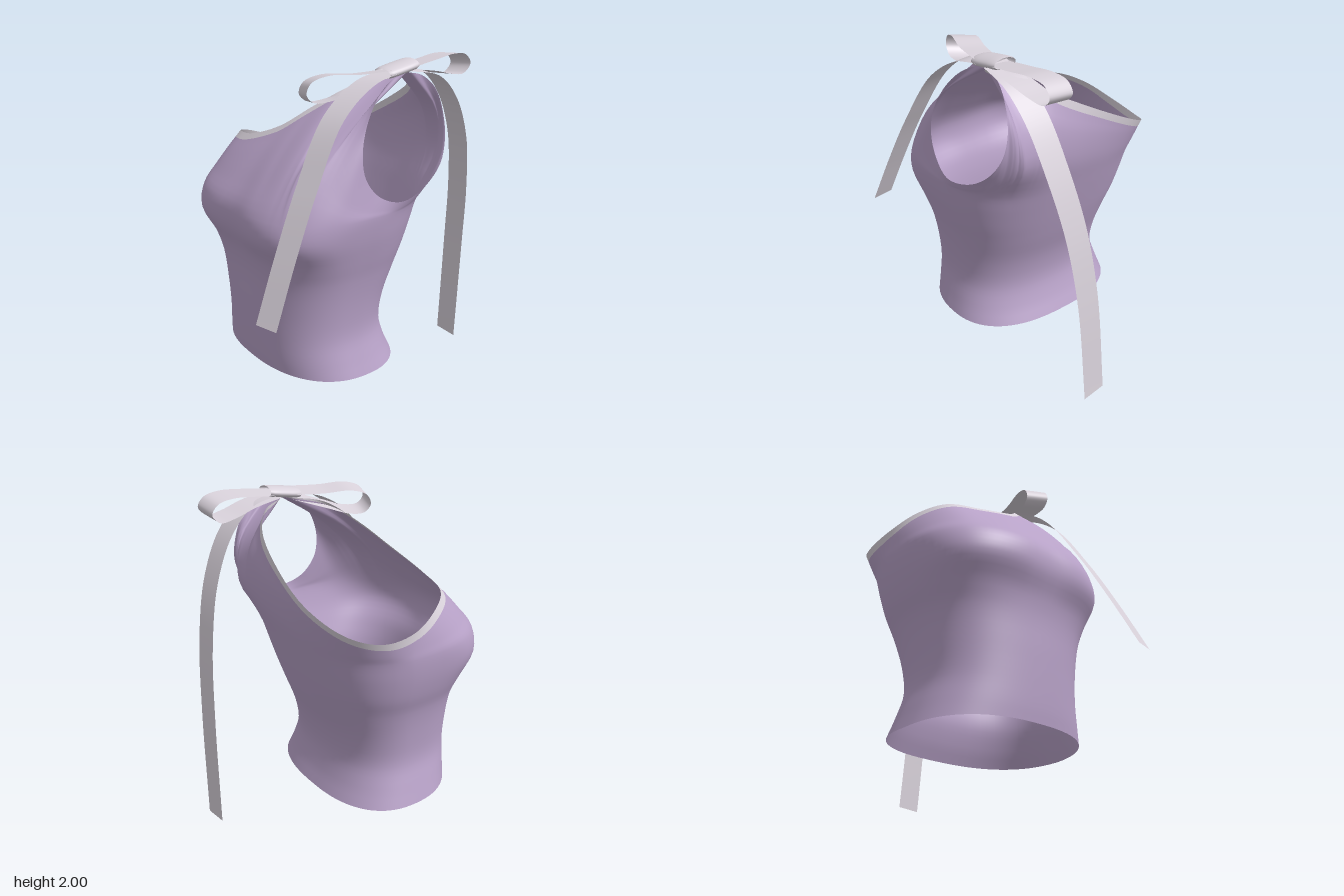
import * as THREE from 'three';

const fabric = new THREE.MeshStandardMaterial({ color: 0xb9a3c9, side: THREE.DoubleSide });
fabric.name = 'lilac fabric';
const satin = new THREE.MeshStandardMaterial({ color: 0xd9d2db, side: THREE.DoubleSide });
satin.name = 'pale satin';

const V = (x, y, z) => new THREE.Vector3(x, y, z);
const { clamp, lerp, smoothstep, degToRad } = THREE.MathUtils;

// Smooth surface through rows[i][j]; optionally closed along j
function gridMesh(name, rows, material, closed) {
  const n = rows[0].length, pos = [], idx = [];
  rows.forEach(r => r.forEach(p => pos.push(p.x, p.y, p.z)));
  for (let i = 0; i < rows.length - 1; i++) {
    for (let j = 0; j < (closed ? n : n - 1); j++) {
      const k = (j + 1) % n;
      const a = i * n + j, b = a + n, c = i * n + k, d = c + n;
      idx.push(a, b, c, b, d, c);
    }
  }
  const g = new THREE.BufferGeometry();
  g.setAttribute('position', new THREE.Float32BufferAttribute(pos, 3));
  g.setIndex(idx);
  g.computeVertexNormals();
  const m = new THREE.Mesh(g, material);
  m.name = name;
  return m;
}

// Flat band of the given width vector swept along a path
function ribbon(name, path, width, steps = 48) {
  const pts = new THREE.CatmullRomCurve3(path.map(p => V(...p))).getPoints(steps);
  const half = V(...width).multiplyScalar(0.5);
  const rows = [pts.map(p => p.clone().sub(half)), pts.map(p => p.clone().add(half))];
  return gridMesh(name, rows, satin, false);
}

// Torso sections: y, right x, left x, back z, front z, squareness of the front
const SECTIONS = [
  [0.18, -0.60, 0.54, -0.28, 0.57, 2.4],
  [0.28, -0.565, 0.51, -0.235, 0.58, 2.4],
  [0.42, -0.53, 0.48, -0.205, 0.59, 2.4],
  [0.60, -0.54, 0.49, -0.23, 0.60, 2.4],
  [0.80, -0.575, 0.525, -0.30, 0.61, 2.6],
  [0.93, -0.62, 0.56, -0.345, 0.635, 2.9],
  [1.07, -0.655, 0.595, -0.39, 0.70, 3.1],
  [1.20, -0.67, 0.615, -0.43, 0.695, 2.75],
];

// Upper edge: angle of its column, then x, y, z and how far the column bows out
const RIM = [
  [-10, 0.62, 1.26, -0.03, 0.1],    // armhole, bottom to front
  [3, 0.60, 1.31, 0.10, 0.1],
  [12, 0.58, 1.42, 0.18, 0.1],
  [19, 0.56, 1.55, 0.19, 0.15],
  [26, 0.525, 1.70, 0.135, 0.15],
  [33, 0.485, 1.83, 0.03, 0.2],
  [39, 0.455, 1.90, -0.08, 0.28],
  [45, 0.45, 1.93, -0.19, 0.33],    // shoulder seam
  [53, 0.33, 1.93, -0.19, 0.42],
  [61, 0.30, 1.865, 0.08, 0.22],    // front neckline
  [75, 0.16, 1.745, 0.235, 0.22],
  [90, 0.00, 1.62, 0.345, 0.35],
  [115, -0.27, 1.52, 0.385, 0.46],
  [138, -0.49, 1.485, 0.33, 0.46],
  [162, -0.60, 1.44, 0.20, 0.4],
  [189, -0.665, 1.37, 0.00, 0.3],   // under the bare shoulder
  [202, -0.65, 1.35, -0.20, 0.3],
  [222, -0.55, 1.40, -0.37, 0.3],   // back neckline
  [245, -0.32, 1.52, -0.48, 0.3],
  [270, 0.00, 1.69, -0.475, 0.3],
  [286, 0.20, 1.805, -0.42, 0.32],
  [295, 0.30, 1.89, -0.33, 0.38],
  [300, 0.33, 1.93, -0.21, 0.47],   // shoulder seam
  [307, 0.45, 1.93, -0.21, 0.51],
  [311, 0.46, 1.905, -0.30, 0.44],  // armhole, back
  [315, 0.48, 1.82, -0.39, 0.46],
  [319, 0.50, 1.66, -0.44, 0.6],
  [324, 0.53, 1.52, -0.43, 0.9],
  [329, 0.57, 1.40, -0.36, 0.5],
  [341, 0.60, 1.29, -0.20, 0.1],
];
const NECK_START = 8, NECK_END = 22;

function sectionPoint([y, x0, x1, z0, z1, square], a) {
  const c = Math.cos(a), s = Math.sin(a);
  const e = 2 / lerp(2.5, square, smoothstep(s, -0.2, 0.3));
  const x = (x0 + x1) / 2 + (x1 - x0) / 2 * Math.sign(c) * Math.abs(c) ** e;
  let z = (z0 + z1) / 2 + (z1 - z0) / 2 * Math.sign(s) * Math.abs(s) ** e;
  // shallow dip between the bust curves
  if (s > 0 && y > 1) z -= 0.018 * Math.exp(-((x / 0.15) ** 2));
  // slightly raised front hem
  const hem = y < 0.2 ? 0.03 * Math.max(0, s) - 0.012 + 0.008 * c : 0;
  return V(x, y + hem, z);
}

function buildBody(group) {
  const n = RIM.length, per = 6, cols = n * per;
  const rim = new THREE.CatmullRomCurve3(RIM.map(r => V(r[1], r[2], r[3])), true);
  const columns = [], trimLow = [], trimTop = [];
  for (let j = 0; j < cols; j++) {
    const t = j / per, k = Math.floor(t), next = RIM[(k + 1) % n];
    const nextAngle = next[0] + (k + 1 < n ? 0 : 360);
    const a = degToRad(lerp(RIM[k][0], nextAngle, t - k));
    const top = rim.getPoint(j / cols);
    const pts = SECTIONS.map(s => sectionPoint(s, a));
    const base = pts[pts.length - 1];
    // the panels bow outwards between chest and upper edge
    const s = Math.sin(a), rise = Math.max(0, top.y - base.y);
    const bow = lerp(RIM[k][4], next[4], t - k);
    const bulge = bow * rise ** 3 * Math.sign(s) * Math.min(1, Math.abs(s) * 1.4);
    for (const f of [1 / 3, 2 / 3]) {
      const p = base.clone().lerp(top, f);
      p.z += bulge * 4 * f * (1 - f);
      pts.push(p);
    }
    // the neckline leaves room for its trim
    const w = 0.05 * clamp(Math.min(t - NECK_START, NECK_END - t), 0, 1);
    const dir = top.clone().sub(pts[pts.length - 1]).normalize();
    const end = top.clone().addScaledVector(dir, -w);
    pts.push(end);
    columns.push(new THREE.CatmullRomCurve3(pts).getPoints((pts.length - 1) * 4));
    if (t >= NECK_START && t <= NECK_END) { trimLow.push(end); trimTop.push(top); }
  }
  const rows = columns[0].map((_, i) => columns.map(c => c[i]));
  group.add(gridMesh('bodice', rows, fabric, true));
  group.add(gridMesh('necklineTrim', [trimLow, trimTop], satin, false));
}

function buildBow(group) {
  const bow = new THREE.Group();
  bow.name = 'shoulderBow';
  bow.add(ribbon('frontLoop', [
    [0.39, 1.945, -0.12], [0.34, 1.935, 0.08], [0.285, 1.94, 0.24], [0.255, 1.905, 0.335],
    [0.25, 1.845, 0.36], [0.258, 1.80, 0.32], [0.28, 1.80, 0.23], [0.33, 1.85, 0.08],
    [0.39, 1.92, -0.12]], [0.143, 0.02, 0.045]));
  bow.add(ribbon('backLoop', [
    [0.39, 1.95, -0.22], [0.385, 1.975, -0.40], [0.37, 1.99, -0.55], [0.36, 1.973, -0.65],
    [0.36, 1.92, -0.688], [0.36, 1.868, -0.64], [0.37, 1.875, -0.54], [0.385, 1.91, -0.40],
    [0.39, 1.94, -0.22]], [0.155, 0.015, -0.01]));
  bow.add(ribbon('frontTail', [
    [0.395, 1.94, -0.16], [0.405, 1.895, 0.06], [0.435, 1.735, 0.295], [0.495, 1.40, 0.51],
    [0.545, 1.07, 0.68], [0.593, 0.737, 0.835]], [0.145, 0.006, -0.035]));
  bow.add(ribbon('backTail', [
    [0.395, 1.945, -0.20], [0.41, 1.90, -0.40], [0.40, 1.76, -0.55], [0.37, 1.50, -0.68],
    [0.31, 1.15, -0.77], [0.25, 0.70, -0.82], [0.198, 0.006, -0.85]], [0.153, -0.01, -0.01]));
  // flattened wrap around the middle
  const profile = [[0.85, -0.105], [0.97, -0.085], [1, -0.04], [1, 0.04], [0.97, 0.085], [0.85, 0.105]];
  const g = new THREE.LatheGeometry(profile.map(p => new THREE.Vector2(...p)), 32);
  g.rotateX(Math.PI / 2);
  g.scale(0.08, 0.033, 1);
  const knot = new THREE.Mesh(g, satin);
  knot.name = 'knot';
  knot.position.set(0.39, 1.948, -0.175);
  knot.rotation.x = 0.18;
  bow.add(knot);
  group.add(bow);
}

export function createModel() {
  const group = new THREE.Group();
  group.name = 'oneShoulderTop';
  buildBody(group);
  buildBow(group);
  return group;
}
